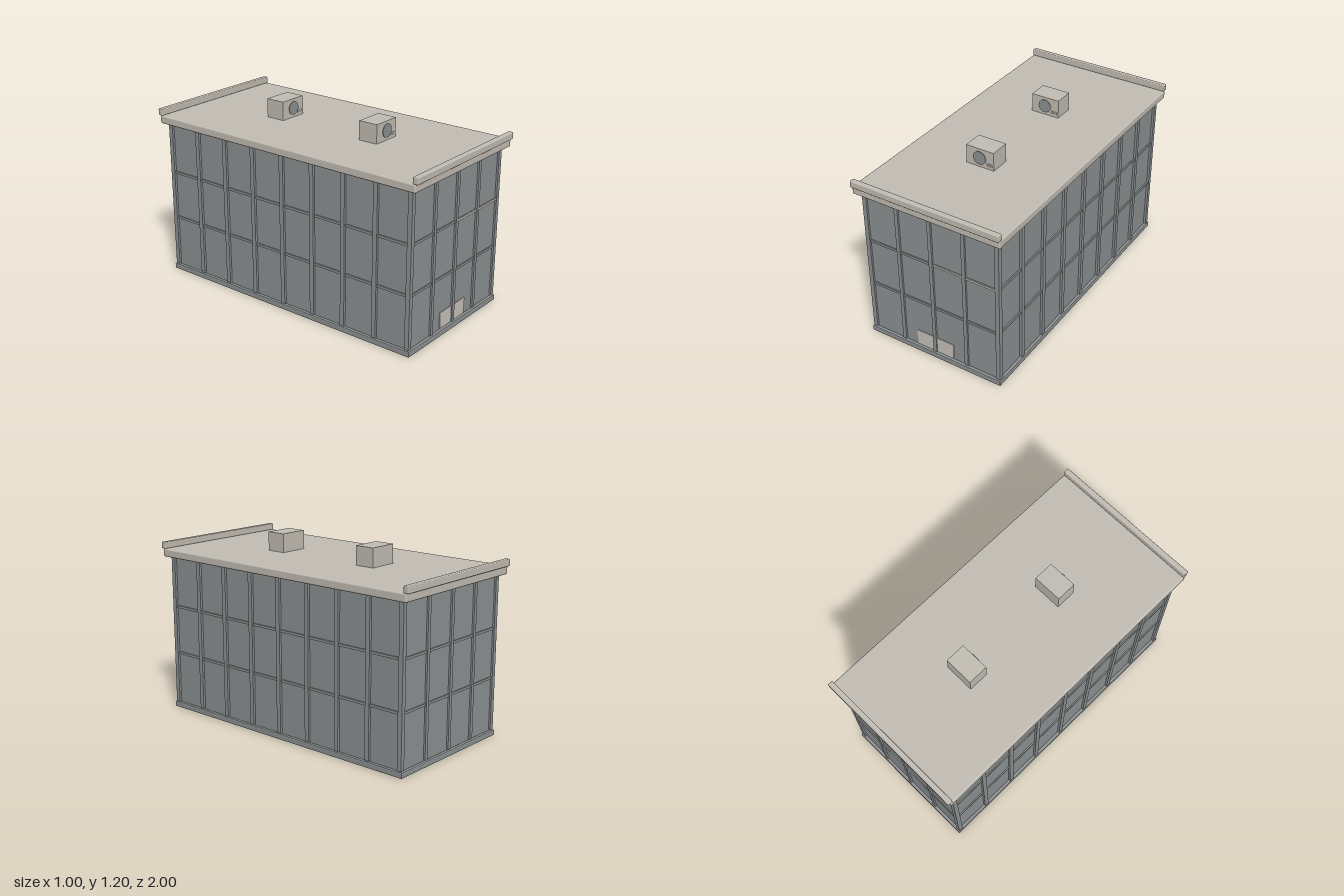
import * as THREE from 'three';
import { RoundedBoxGeometry } from 'three/addons/geometries/RoundedBoxGeometry.js';

export function createModel() {
  const group = new THREE.Group();
  const slate = new THREE.MeshStandardMaterial({ name: 'slate grey', color: 0x8d9293 });
  const stone = new THREE.MeshStandardMaterial({ name: 'warm stone', color: 0xc3beb4 });
  const pale = new THREE.MeshStandardMaterial({ name: 'pale stone', color: 0xc9c2ba });

  function add(name, geometry, material, x, y, z) {
    const mesh = new THREE.Mesh(geometry, material);
    mesh.name = name;
    mesh.position.set(x, y, z);
    group.add(mesh);
    return mesh;
  }
  // Box given by its extents along each axis
  function box(name, material, x0, x1, y0, y1, z0, z1, bevel = 0) {
    const size = [x1 - x0, y1 - y0, z1 - z0];
    const geometry = bevel
      ? new RoundedBoxGeometry(...size, 2, bevel)
      : new THREE.BoxGeometry(...size);
    return add(name, geometry, material, (x0 + x1) / 2, (y0 + y1) / 2, (z0 + z1) / 2);
  }
  const rectangle = (w, d) => [[-w, -d], [w, -d], [w, d], [-w, d]].map(([x, y]) => new THREE.Vector2(x, y));

  // Plinth: a bevelled ring, open underneath
  const bevel = 0.006;
  const ring = new THREE.Shape(rectangle(0.47 - bevel, 0.955 - bevel));
  ring.holes.push(new THREE.Path(rectangle(0.447 + bevel, 0.932 + bevel)));
  const plinth = add('plinth', new THREE.ExtrudeGeometry(ring, {
    depth: 0.037 - 2 * bevel, bevelSize: bevel, bevelThickness: bevel, bevelSegments: 2,
  }), slate, 0, bevel, 0);
  plinth.rotation.x = -Math.PI / 2;

  // Glazed body, its floor set above the foot of the plinth, and cornice slab
  box('glazedBody', slate, -0.45, 0.45, 0.034, 1.03, -0.935, 0.935);
  box('corniceSlab', stone, -0.5, 0.5, 1.022, 1.075, -0.985, 0.985, 0.01);

  // Corner posts
  for (const sx of [-1, 1]) {
    for (const sz of [-1, 1]) {
      add('cornerPost', new THREE.BoxGeometry(0.028, 0.974, 0.03), slate, sx * 0.451, 0.528, sz * 0.932);
    }
  }

  // Vertical mullions on the front and back, then on both sides
  for (const s of [-1, 1]) {
    for (const x of [-0.227, 0, 0.227]) {
      add('endMullion', new THREE.BoxGeometry(0.024, 0.974, 0.026), slate, x, 0.528, s * 0.934);
    }
    for (let i = -3; i <= 3; i++) {
      add('sideMullion', new THREE.BoxGeometry(0.028, 0.974, 0.03), slate, s * 0.451, 0.528, i * 0.232);
    }
  }

  // Horizontal floor bands
  for (const y of [0.378, 0.691]) {
    for (const s of [-1, 1]) {
      add('sideFloorBand', new THREE.BoxGeometry(0.02, 0.016, 1.85), slate, s * 0.448, y, 0);
      add('endFloorBand', new THREE.BoxGeometry(0.88, 0.016, 0.02), slate, 0, y, s * 0.932);
    }
  }
  // Stone facing on one half of the upper front band
  box('bandFacing', pale, 0.012, 0.437, 0.685, 0.698, 0.938, 0.944);

  // Entrance doors either side of the central mullion
  for (const s of [-1, 1]) {
    const shape = new THREE.Shape([
      new THREE.Vector2(s * 0.012, 0.04),
      new THREE.Vector2(s * 0.129, 0.04),
      new THREE.Vector2(s * 0.134, 0.146),
      new THREE.Vector2(s * 0.012, 0.146),
    ]);
    add('entranceDoor', new THREE.ExtrudeGeometry(shape, { depth: 0.005, bevelEnabled: false }), pale, 0, 0, 0.935);
  }

  // Parapet rails along the front and back roof edges
  for (const s of [-1, 1]) {
    add('parapetRail', new RoundedBoxGeometry(1, 0.044, 0.034, 2, 0.006), stone, 0, 1.095, s * 0.983);
  }

  // Rooftop units, each with a front fan and small louvres
  for (const z of [-0.365, 0.363]) {
    box('rooftopUnit', stone, -0.095, 0.095, 1.07, 1.195, z - 0.065, z + 0.065);
    const fan = add('fan', new THREE.CylinderGeometry(0.043, 0.043, 0.004, 24), slate, 0, 1.137, z + 0.071);
    fan.rotation.x = Math.PI / 2;
    for (const y of [1.098, 1.11]) {
      box('louvre', stone, 0.045, 0.085, y - 0.002, y + 0.002, z + 0.065, z + 0.068);
    }
  }
  return group;
}
